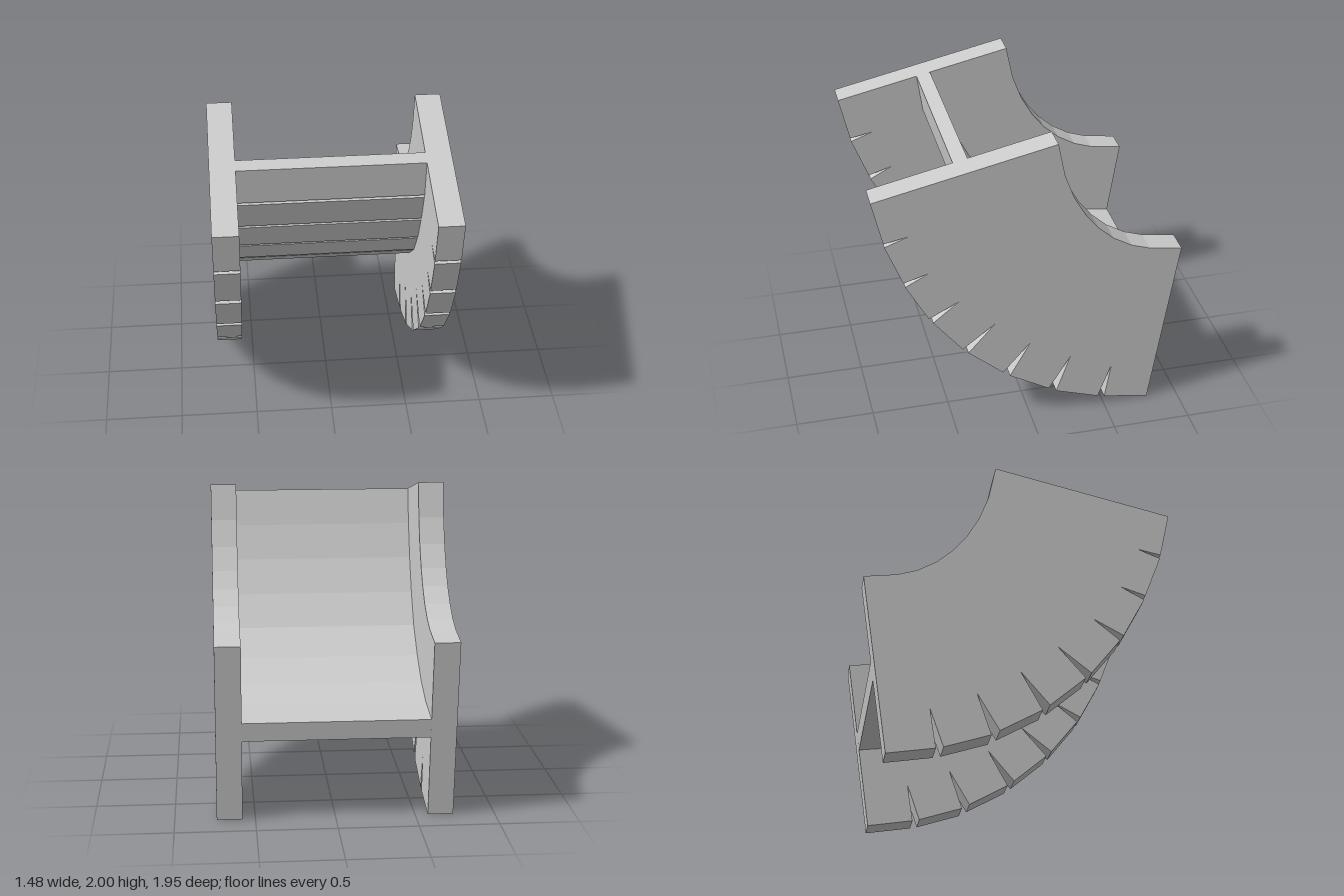
import * as THREE from 'three';

const material = new THREE.MeshStandardMaterial({ color: 0xcccccc, flatShading: true });

// Extrude a side profile of [z, y] points across x, centred on the given x
function slab(name, points, width, x) {
  const shape = new THREE.Shape(points.map(([z, y]) => new THREE.Vector2(z, y)));
  const geometry = new THREE.ExtrudeGeometry(shape, { depth: width, bevelEnabled: false });
  geometry.translate(0, 0, -width / 2);
  geometry.rotateY(-Math.PI / 2);
  const mesh = new THREE.Mesh(geometry, material);
  mesh.name = name;
  mesh.position.x = x;
  return mesh;
}

export function createModel() {
  const group = new THREE.Group();
  group.name = 'curvedBeam';

  // Side plates: smooth concave edge, outer edge cut by wedge slots
  const concaveEdge = [
    [-0.97, 1.15], [-0.76, 1.18], [-0.64, 1.22], [-0.52, 1.29], [-0.42, 1.38],
    [-0.34, 1.48], [-0.26, 1.62], [-0.2, 1.78], [-0.155, 2.0],
  ];
  // Each slot: upper lip, tip, lower lip
  const slots = [
    [[0.91, 1.46], [0.76, 1.49], [0.905, 1.435]],
    [[0.8, 1.16], [0.64, 1.21], [0.79, 1.13]],
    [[0.65, 0.87], [0.46, 0.97], [0.625, 0.835]],
    [[0.44, 0.6], [0.23, 0.765], [0.405, 0.565]],
    [[0.18, 0.37], [0, 0.58], [0.135, 0.335]],
    [[-0.125, 0.185], [-0.265, 0.42], [-0.175, 0.155]],
    [[-0.46, 0.06], [-0.545, 0.3], [-0.505, 0.05]],
  ];
  const plate = [...concaveEdge, [0.975, 1.75], ...slots.flat(), [-0.8, 0]];
  group.add(slab('leftPlate', plate, 0.16, 0.66));
  group.add(slab('rightPlate', plate, 0.16, -0.66));

  // Curved web joining the plates, with shallow notches on its outer face
  const inner = [
    [-0.896, 0.65], [-0.64, 0.685], [-0.42, 0.76], [-0.22, 0.88], [-0.03, 1.035],
    [0.11, 1.23], [0.22, 1.443], [0.3, 1.66], [0.36, 1.886],
  ];
  const joints = [
    [0.41, 1.6], [0.32, 1.37], [0.205, 1.15], [0.055, 0.95],
    [-0.15, 0.78], [-0.37, 0.65], [-0.6, 0.57],
  ];
  const outer = joints.flatMap(([z, y], i) => {
    const a = THREE.MathUtils.degToRad(-21 - 8.65 * i);
    const c = Math.cos(a), s = Math.sin(a), half = 0.012, depth = 0.05;
    return [
      [z - s * half, y + c * half],
      [z - c * depth, y - s * depth],
      [z + s * half, y - c * half],
    ];
  });
  const web = [...inner, [0.45, 1.866], ...outer, [-0.878, 0.53]];
  group.add(slab('web', web, 1.16, 0));

  return group;
}
